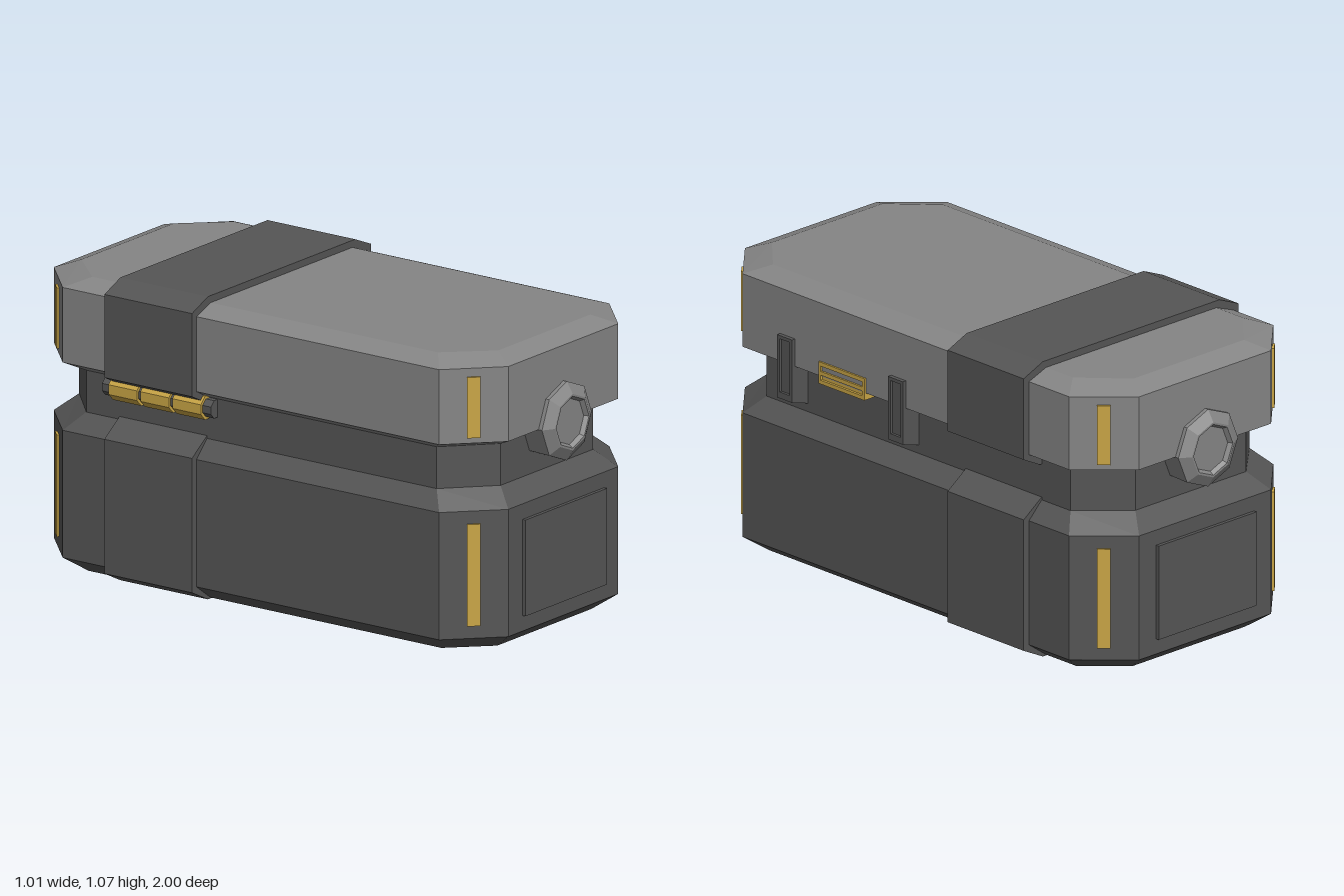
import * as THREE from 'three';

const mat = (color) => new THREE.MeshStandardMaterial({ color, flatShading: true });
const lidMat = mat(0x858585), darkMat = mat(0x555555), goldMat = mat(0xc9a545);

// Stack of eight-sided sections: [y, half width, half length, chamfer x, chamfer z]
function octagonLoft(sections) {
  const rings = sections.map(([y, w, l, cx, cz]) => [
    [w, -cz], [w, cz], [cx, l], [-cx, l], [-w, cz], [-w, -cz], [-cx, -l], [cx, -l],
  ].map(([x, z]) => [x, y, z]));
  const pos = [];
  const tri = (a, b, c) => pos.push(...a, ...b, ...c);
  for (let r = 0; r < rings.length - 1; r++) {
    const a = rings[r], b = rings[r + 1];
    for (let i = 0; i < 8; i++) {
      const j = (i + 1) % 8;
      tri(a[i], b[i], b[j]);
      tri(a[i], b[j], a[j]);
    }
  }
  const bottom = rings[0], top = rings[rings.length - 1];
  for (let i = 1; i < 7; i++) {
    tri(bottom[0], bottom[i], bottom[i + 1]);
    tri(top[0], top[i + 1], top[i]);
  }
  const geo = new THREE.BufferGeometry();
  geo.setAttribute('position', new THREE.Float32BufferAttribute(pos, 3));
  geo.computeVertexNormals();
  return geo;
}

// XY profile pulled along z from z0 to z1
function extrudeZ(points, z0, z1) {
  const shape = new THREE.Shape(points.map(([x, y]) => new THREE.Vector2(x, y)));
  const geo = new THREE.ExtrudeGeometry(shape, { depth: z1 - z0, bevelEnabled: false });
  return geo.translate(0, 0, z0);
}

// Box given by its limits on each axis
function boxBetween(x0, x1, y0, y1, z0, z1) {
  return new THREE.BoxGeometry(x1 - x0, y1 - y0, z1 - z0)
    .translate((x0 + x1) / 2, (y0 + y1) / 2, (z0 + z1) / 2);
}

function add(parent, name, geo, material) {
  const mesh = new THREE.Mesh(geo, material);
  mesh.name = name;
  parent.add(mesh);
  return mesh;
}

// Faceted end knob facing +z, with a sunken centre
function makeKnob() {
  const profile = [[0, 0.88], [0.137, 0.88], [0.14, 0.975], [0.1, 1.0], [0.092, 1.0], [0.082, 0.985], [0, 0.985]]
    .map(([r, h]) => new THREE.Vector2(r, h));
  return new THREE.LatheGeometry(profile, 8).rotateX(Math.PI / 2).translate(0, 0.75, 0);
}

// Side latch: hooked body with a raised rim
function makeLatch(z) {
  const latch = new THREE.Group();
  latch.name = 'latch';
  const w = 0.036;
  add(latch, 'latchBody', extrudeZ(
    [[0.4, 0.6], [0.42, 0.6], [0.495, 0.622], [0.495, 0.645], [0.485, 0.645], [0.485, 0.85], [0.465, 0.85], [0.465, 0.75], [0.4, 0.715]],
    z - w, z + w), darkMat);
  for (const s of [-1, 1]) {
    const c = z + s * (w - 0.006);
    add(latch, 'latchRail', boxBetween(0.48, 0.495, 0.645, 0.85, c - 0.006, c + 0.006), darkMat);
  }
  add(latch, 'latchTop', boxBetween(0.48, 0.495, 0.838, 0.85, z - w, z + w), darkMat);
  return latch;
}

export function createModel() {
  const model = new THREE.Group();
  model.name = 'case';

  // Base, recessed neck and lid
  add(model, 'base', octagonLoft([
    [0.003, 0.4, 0.88, 0.265, 0.745],
    [0.06, 0.48, 0.96, 0.31, 0.795],
    [0.51, 0.48, 0.96, 0.31, 0.795],
    [0.57, 0.42, 0.89, 0.26, 0.74],
  ]), darkMat);
  add(model, 'neck', octagonLoft([
    [0.55, 0.42, 0.89, 0.26, 0.74],
    [0.73, 0.42, 0.89, 0.26, 0.74],
  ]), darkMat);
  add(model, 'lid', octagonLoft([
    [0.718, 0.42, 0.89, 0.26, 0.74],
    [0.75, 0.48, 0.96, 0.31, 0.795],
    [1.015, 0.48, 0.96, 0.31, 0.795],
    [1.045, 0.4, 0.88, 0.26, 0.73],
  ]), lidMat);

  // Strap around base and lid
  const strap = (name, right) => {
    const left = right.map(([x, y]) => [-x, y]).reverse();
    add(model, name, extrudeZ([...right, ...left], -0.6, -0.23), darkMat);
  };
  strap('baseStrap', [[0.415, 0], [0.505, 0.045], [0.505, 0.52], [0.42, 0.58], [0.4, 0.58]]);
  strap('lidStrap', [[0.4, 0.7], [0.43, 0.7], [0.505, 0.738], [0.505, 1.032], [0.415, 1.07]]);

  // Knob and panel on each end
  for (const turn of [0, Math.PI]) {
    const end = new THREE.Group();
    end.name = turn ? 'backEnd' : 'frontEnd';
    add(end, 'knob', makeKnob(), lidMat);
    add(end, 'panel', boxBetween(-0.23, 0.23, 0.115, 0.455, 0.95, 0.973), darkMat);
    end.rotation.y = turn;
    model.add(end);
  }

  // Gold strips on the chamfered corners
  for (const sx of [-1, 1]) for (const sz of [-1, 1]) {
    for (const [y0, y1] of [[0.105, 0.465], [0.77, 0.985]]) {
      const strip = add(model, 'cornerStrip', new THREE.BoxGeometry(0.046, y1 - y0, 0.02), goldMat);
      strip.position.set(sx * 0.394, (y0 + y1) / 2, sz * 0.876);
      strip.rotation.y = Math.atan2(sx, sz);
    }
  }

  // Latches and gold clasp on the left side
  for (const z of [0.035, 0.575]) model.add(makeLatch(z));
  const clasp = new THREE.Group();
  clasp.name = 'clasp';
  add(clasp, 'claspPlate', boxBetween(0.42, 0.478, 0.735, 0.79, 0.2, 0.415), goldMat);
  for (const y of [0.725, 0.757, 0.79])
    add(clasp, 'claspBar', boxBetween(0.43, 0.487, y, y + 0.014, 0.195, 0.418), goldMat);
  for (const z of [0.195, 0.408])
    add(clasp, 'claspEnd', boxBetween(0.43, 0.487, 0.725, 0.804, z, z + 0.01), goldMat);
  model.add(clasp);

  // Hinge under the strap on the right side
  const rod = (name, radius, z0, z1, material) => add(model, name,
    new THREE.CylinderGeometry(radius, radius, z1 - z0, 8)
      .rotateX(Math.PI / 2).rotateZ(Math.PI / 8).translate(-0.427, 0.685, (z0 + z1) / 2), material);
  rod('hingePin', 0.034, -0.645, -0.185, darkMat);
  for (let i = 0; i < 3; i++) rod('hingeBarrel', 0.045, -0.61 + i * 0.135, -0.49 + i * 0.135, goldMat);

  return model;
}
